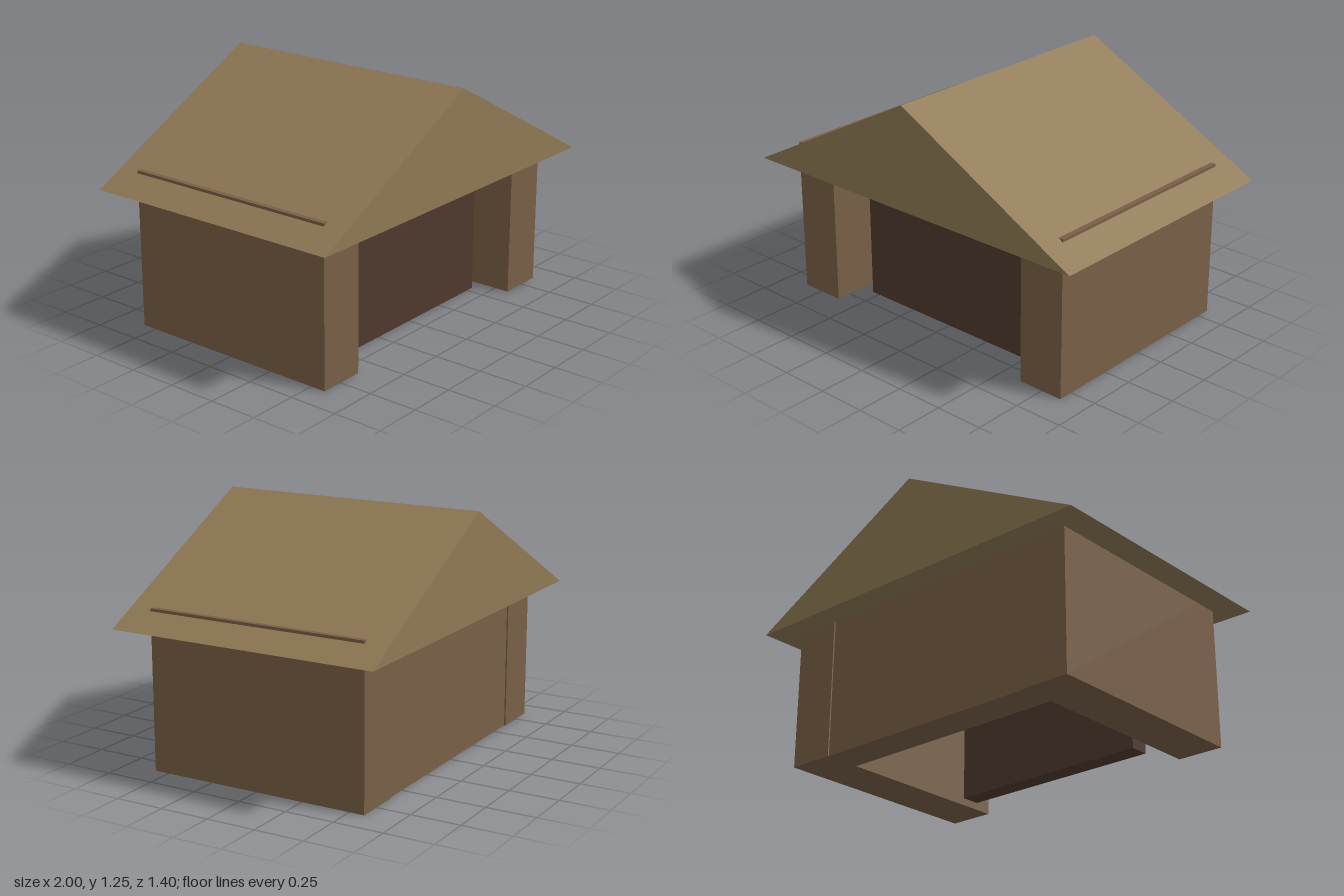
import * as THREE from 'three';

export function createModel() {
  const model = new THREE.Group();
  const material = (name, color) => {
    const m = new THREE.MeshStandardMaterial({ color });
    m.name = name;
    return m;
  };
  const wood = material('wallWood', 0x785f46);
  const thatch = material('roofTan', 0x8f7954);
  const dark = material('doorBrown', 0x4e392e);

  // Box given by its low and high bounds on each axis
  const addBox = (name, mat, [x0, x1], [y0, y1], [z0, z1]) => {
    const geometry = new THREE.BoxGeometry(x1 - x0, y1 - y0, z1 - z0);
    geometry.translate((x0 + x1) / 2, (y0 + y1) / 2, (z0 + z1) / 2);
    const mesh = new THREE.Mesh(geometry, mat);
    mesh.name = name;
    model.add(mesh);
  };

  // Thick side walls, whose tops just break through the roof slopes
  addBox('leftWall', wood, [0.62, 0.862], [0, 0.803], [-0.577, 0.577]);
  addBox('rightWall', wood, [-0.862, -0.62], [0, 0.803], [-0.577, 0.577]);

  // Back wall, set in slightly between the side walls
  addBox('backWall', wood, [-0.62, 0.62], [0, 0.803], [-0.57, -0.39]);

  // Lintel over the entrance, standing proud of the walls
  addBox('lintel', wood, [-0.683, 0.683], [0.653, 0.8], [0.4, 0.593]);

  // Recessed door panel
  addBox('door', dark, [-0.545, 0.545], [0, 0.655], [0.305, 0.405]);

  // Solid gable roof with flat eaves
  const gable = new THREE.Shape([
    new THREE.Vector2(-1, 0.716),
    new THREE.Vector2(1, 0.716),
    new THREE.Vector2(0, 1.245),
  ]);
  const roofGeometry = new THREE.ExtrudeGeometry(gable, { depth: 1.396, bevelEnabled: false });
  roofGeometry.translate(0, 0, -0.698);
  const roof = new THREE.Mesh(roofGeometry, thatch);
  roof.name = 'gableRoof';
  model.add(roof);

  return model;
}
